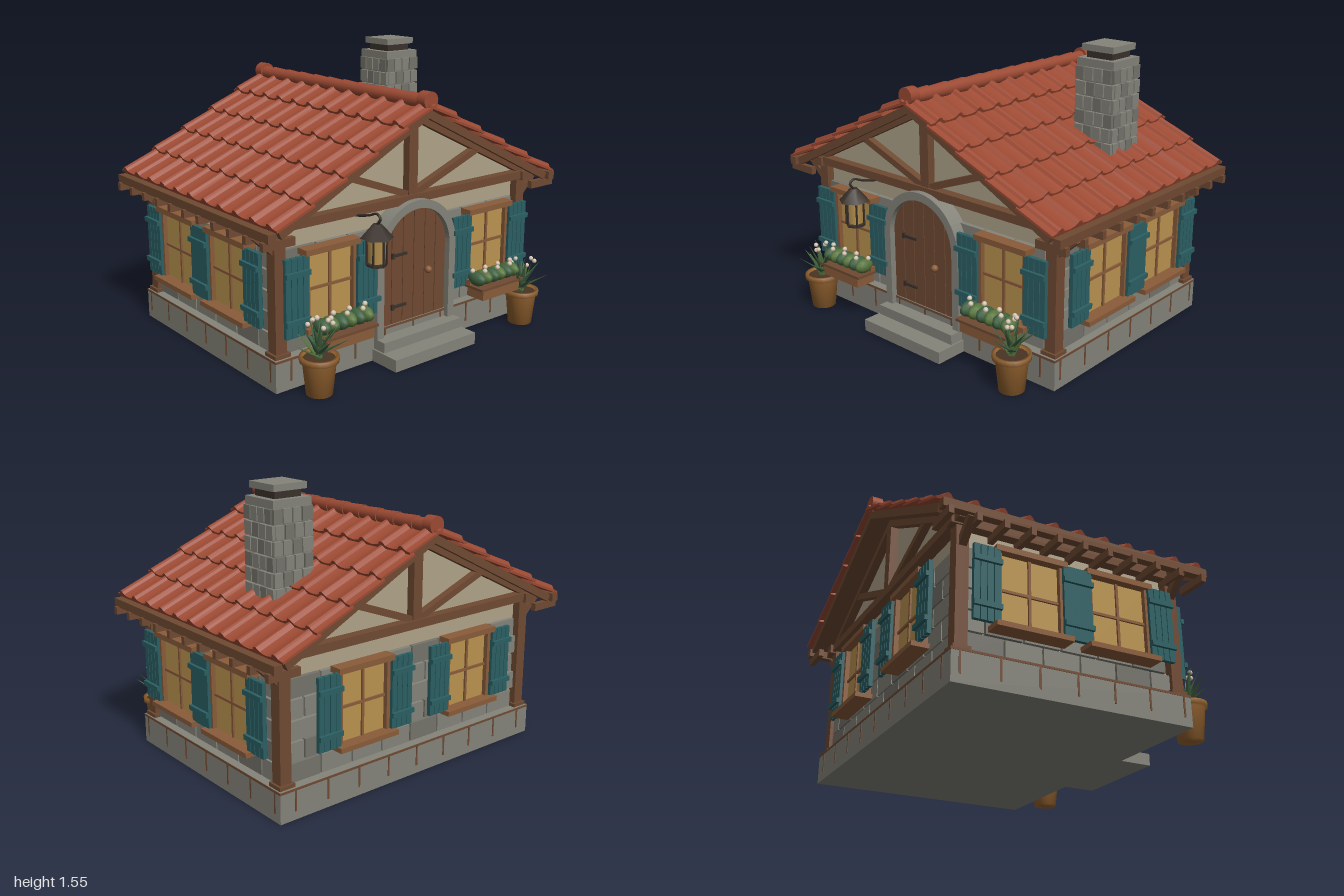
import * as THREE from 'three';

const mat = (color, opt = {}) => new THREE.MeshStandardMaterial({ color, ...opt });
const M = {
  roof: mat(0x9c4a33), wood: mat(0x704a32), trim: mat(0x8a5c3a), plaster: mat(0xb0a48a), teal: mat(0x2b6064),
  tealDark: mat(0x1f474b), glass: mat(0xbb9450), stone: mat(0x85847a), stoneDark: mat(0x74736b), dark: mat(0x3a312b),
  pot: mat(0x93622f), leaf: mat(0x3f6141, { side: THREE.DoubleSide }), bush: mat(0x56743c), petal: mat(0xd8c8b4), soil: mat(0x4a3424),
};

function add(parent, name, geo, material, x = 0, y = 0, z = 0) {
  const m = new THREE.Mesh(geo, material);
  m.name = name;
  m.position.set(x, y, z);
  parent.add(m);
  return m;
}
const box = (p, name, material, w, h, d, x, y, z) => add(p, name, new THREE.BoxGeometry(w, h, d), material, x, y, z);
function group(parent, name, x = 0, y = 0, z = 0, ry = 0) {
  const g = new THREE.Group();
  g.name = name;
  g.position.set(x, y, z);
  g.rotation.y = ry;
  parent.add(g);
  return g;
}
// Timber between two points of an x-y plane
function beam(p, name, x0, y0, x1, y1, z, thick, depth, material = M.wood) {
  const b = box(p, name, material, Math.hypot(x1 - x0, y1 - y0), thick, depth, (x0 + x1) / 2, (y0 + y1) / 2, z);
  b.rotation.z = Math.atan2(y1 - y0, x1 - x0);
}
const extrude = (shape, depth, curveSegments = 16) => new THREE.ExtrudeGeometry(shape, { depth, bevelEnabled: false, curveSegments });

// Staggered courses of stone on one wall, facing +z
function stonework(p, width) {
  const rowH = 0.107, bw = 0.2;
  for (let r = 0; r < 5; r++) {
    for (let x = -width / 2 - (r % 2 ? bw / 2 : 0), k = 0; x < width / 2 - 0.01; x += bw, k++) {
      const a = Math.max(x, -width / 2), b = Math.min(x + bw, width / 2);
      if (b - a > 0.03) box(p, 'wallStone', (k * 3 + r) % 4 ? M.stone : M.stoneDark, b - a - 0.01, rowH - 0.01, 0.03, (a + b) / 2, 0.165 + rowH * (r + 0.5), -0.015);
    }
  }
}

// Boarded shutter centred on its own origin
function shutter(p, x, h, y) {
  const g = group(p, 'shutter', x, y, 0.055), w = 0.14;
  for (let i = 0; i < 4; i++) box(g, 'shutterBoard', M.teal, w / 4 - 0.004, h, 0.022, (i - 1.5) * w / 4, 0, 0);
  box(g, 'shutterBacking', M.tealDark, w - 0.01, h - 0.02, 0.012, 0, 0, -0.008);
  for (const s of [-1, 1]) box(g, 'shutterBatten', M.teal, w + 0.004, 0.026, 0.018, 0, s * h * 0.3, 0.018);
}

// Four-pane window with shutters, facing +z
function windowUnit(p, x, w, y0, y1, offset, shutterY0, shutterY1) {
  const g = group(p, 'window', x), h = y1 - y0, cy = (y0 + y1) / 2;
  box(g, 'windowPane', M.glass, w, h, 0.03, 0, cy, 0.01);
  for (const s of [-1, 1]) box(g, 'windowJamb', M.trim, 0.022, h, 0.05, s * (w / 2 + 0.005), cy, 0.025);
  box(g, 'windowHeader', M.trim, w + 0.06, 0.03, 0.07, 0, y1 + 0.015, 0.035);
  box(g, 'windowSill', M.trim, w + 0.08, 0.026, 0.095, 0, y0 - 0.01, 0.0475);
  box(g, 'windowMullion', M.trim, 0.014, h, 0.02, 0, cy, 0.025);
  box(g, 'windowTransom', M.trim, w, 0.014, 0.02, 0, cy, 0.025);
  for (const s of [-1, 1]) shutter(g, s * offset, shutterY1 - shutterY0, (shutterY0 + shutterY1) / 2);
}

// One roof slope; x runs down from the ridge
function roofSlope(p, ry) {
  const slope = group(p, 'roofSlope', 0, 1.335, 0, ry);
  const g = group(slope, 'tiledSlope');
  g.rotation.z = -Math.atan(0.5);
  const L = 1.068, rows = 5, step = L / rows, half = 0.76, pitch = 0.141;
  box(g, 'roofDeck', M.wood, L - 0.03, 0.022, 1.47, L / 2 - 0.015, -0.042, 0);
  for (const s of [-1, 1]) box(g, 'bargeBoard', M.wood, L - 0.02, 0.04, 0.03, L / 2 - 0.01, -0.053, s * 0.72);
  // Tile profile: sagging pans with narrow rounded covers
  const profile = new THREE.Shape();
  profile.moveTo(-half, 0);
  profile.lineTo(half, 0);
  const n = 11 * 14;
  for (let i = 0; i <= n; i++) {
    const z = half - (2 * half * i) / n, d = Math.abs(z - Math.round(z / pitch) * pitch);
    const y = d < 0.021 ? 0.018 + Math.sqrt(0.021 ** 2 - d * d) : 0.011 + 0.01 * (1 - (d - 0.021) / 0.05) ** 2;
    profile.lineTo(z, y);
  }
  const geo = extrude(profile, step + 0.02).rotateY(Math.PI / 2);
  for (let r = 0; r < rows; r++) {
    const t = add(g, 'tileCourse', geo, M.roof, r * step - (r ? 0.02 : 0.012), -0.033 + (r ? 0 : 0.004), 0);
    t.rotation.z = 0.085;
  }
}

// Timber truss on one gable end
function gableTruss(p, z) {
  const g = group(p, 'gableTruss');
  box(g, 'tieBeam', M.wood, 1.86, 0.045, 0.07, 0, 0.82, z);
  box(g, 'kingPost', M.wood, 0.06, 0.46, 0.05, 0, 1.055, z);
  for (const s of [-1, 1]) {
    beam(g, 'rafter', 0, 1.255, s * 0.86, 0.835, z, 0.04, 0.05);
    beam(g, 'strut', s * 0.03, 0.845, s * 0.48, 1.015, z, 0.036, 0.04);
  }
}

// Arched boarded door with stone surround and steps
function doorway(p) {
  const g = group(p, 'doorway'), spring = 0.545, base = 0.13;
  const ring = new THREE.Shape();
  ring.moveTo(0.275, 0.1);
  ring.lineTo(0.275, spring);
  ring.absarc(0, spring, 0.275, 0, Math.PI, false);
  ring.lineTo(-0.275, 0.1);
  ring.lineTo(-0.23, 0.1);
  ring.lineTo(-0.23, spring);
  ring.absarc(0, spring, 0.23, Math.PI, 0, true);
  ring.lineTo(0.23, 0.1);
  add(g, 'doorSurround', extrude(ring, 0.09), M.stone, 0, 0, 0.58);
  const arch = (a, b) => {
    const s = new THREE.Shape();
    s.moveTo(a, base);
    s.lineTo(b, base);
    for (let i = 0; i <= 8; i++) {
      const x = b + ((a - b) * i) / 8;
      s.lineTo(x, spring + Math.sqrt(Math.max(0, 0.23 ** 2 - x * x)));
    }
    return s;
  };
  for (let i = 0; i < 6; i++) {
    const a = -0.23 + (i * 0.46) / 6;
    add(g, 'doorBacking', extrude(arch(a, a + 0.46 / 6), 0.03), M.dark, 0, 0, 0.585);
    add(g, 'doorBoard', extrude(arch(a + 0.002, a + 0.0745), 0.02), M.wood, 0, 0, 0.618);
  }
  for (const y of [0.26, 0.54]) {
    box(g, 'doorHinge', M.dark, 0.1, 0.014, 0.012, -0.105, y, 0.643);
    box(g, 'hingePlate', M.dark, 0.016, 0.03, 0.014, -0.15, y, 0.643);
  }
  add(g, 'doorKnob', new THREE.SphereGeometry(0.02, 12, 8), M.trim, 0.092, 0.42, 0.655);
  box(g, 'lowerStep', M.stone, 0.57, 0.065, 0.23, 0, 0.0325, 0.712);
  box(g, 'upperStep', M.stone, 0.55, 0.055, 0.13, 0, 0.0925, 0.66);
}

// Window box filled with clipped greenery and blossoms
function flowerBox(p, x) {
  const g = group(p, 'flowerBox', x, 0, 0.72);
  box(g, 'planter', M.trim, 0.29, 0.06, 0.12, 0, 0.235, 0);
  box(g, 'planterRim', M.wood, 0.33, 0.014, 0.14, 0, 0.268, 0);
  for (let i = 0; i < 6; i++) add(g, 'bush', new THREE.SphereGeometry(0.04, 10, 8), i % 2 ? M.bush : M.leaf, (i - 2.5) * 0.054, 0.315, 0).scale.set(0.85, 1, 1.5);
  for (let i = 0; i < 7; i++) add(g, 'blossom', new THREE.SphereGeometry(0.014, 8, 6), M.petal, (i - 3) * 0.05, 0.358, i % 2 ? 0.025 : -0.02);
}

// Turned pot with a spiky plant
function pottedPlant(p, x) {
  const g = group(p, 'pottedPlant', x, 0, 0.762);
  const pts = [[0, 0], [0.066, 0], [0.084, 0.165], [0.098, 0.17], [0.098, 0.197], [0.083, 0.197], [0.08, 0.18], [0, 0.18]];
  add(g, 'pot', new THREE.LatheGeometry(pts.map(([r, y]) => new THREE.Vector2(r, y)), 20), M.pot);
  add(g, 'soil', new THREE.CylinderGeometry(0.08, 0.08, 0.01, 16), M.soil, 0, 0.18, 0);
  const leafGeo = new THREE.ConeGeometry(0.022, 0.17, 5).scale(1, 1, 0.35).translate(0, 0.085, 0);
  for (let i = 0; i < 18; i++) {
    const pivot = group(g, 'leafPivot', 0, 0.185 + 0.02 * (i % 3), 0, i * 2.4);
    add(pivot, 'leaf', leafGeo, i % 3 ? M.leaf : M.bush).rotation.x = 0.15 + 0.95 * (i / 17);
    if (i % 4 === 0) add(pivot, 'blossom', new THREE.SphereGeometry(0.013, 8, 6), M.petal, 0, 0.16, 0.035 + i * 0.002);
  }
}

// Six-sided hanging lantern on a wall hook
function lantern(p) {
  const g = group(p, 'lantern', -0.38, 0, 0.782);
  const cyl = (name, m, r0, r1, h, y) => add(g, name, new THREE.CylinderGeometry(r0, r1, h, 6).toNonIndexed(), m, 0, y, 0);
  cyl('lanternGlass', M.glass, 0.048, 0.042, 0.12, 0.655);
  cyl('lanternBase', M.dark, 0.05, 0.05, 0.012, 0.583);
  cyl('lanternCollar', M.dark, 0.055, 0.055, 0.012, 0.718);
  cyl('lanternRoof', M.dark, 0.022, 0.085, 0.07, 0.755);
  for (let i = 0; i < 6; i++) {
    const a = (i * Math.PI) / 3;
    box(g, 'lanternBar', M.dark, 0.008, 0.135, 0.008, Math.sin(a) * 0.05, 0.65, Math.cos(a) * 0.05);
  }
  const path = [[0.785, 0], [0.82, 0.025], [0.84, 0], [0.82, -0.06], [0.79, -0.19]].map(([y, z]) => new THREE.Vector3(0, y, z));
  add(g, 'lanternHook', new THREE.TubeGeometry(new THREE.CatmullRomCurve3(path), 20, 0.007, 6), M.dark);
}

// Brick stack with collar and cap
function chimney(p) {
  const g = group(p, 'chimney', 0.55, 0, -0.198);
  box(g, 'chimneyCore', M.stoneDark, 0.21, 0.5, 0.21, 0, 1.19, 0);
  for (let side = 0; side < 4; side++) {
    const face = group(g, 'chimneyFace', 0, 0, 0, (side * Math.PI) / 2);
    for (let r = 0; r < 6; r++) for (let c = 0; c < 4; c++)
      box(face, 'chimneyBrick', (r + c * 2) % 3 ? M.stone : M.stoneDark, 0.05, 0.069, 0.025, (c - 1.5) * 0.058 + (r % 2 ? 0.006 : -0.006), 1.4 - r * 0.078, 0.112);
  }
  box(g, 'chimneyCollar', M.stone, 0.232, 0.042, 0.232, 0, 1.457, 0);
  box(g, 'chimneyNeck', M.dark, 0.16, 0.04, 0.16, 0, 1.495, 0);
  box(g, 'chimneyCap', M.stone, 0.2, 0.034, 0.2, 0, 1.533, 0);
}

export function createModel() {
  const root = new THREE.Group();
  root.name = 'cottage';
  const house = group(root, 'house', 0, 0, -0.057);

  // Foundation, walls and gable infill
  box(house, 'foundation', M.stone, 1.78, 0.165, 1.286, 0, 0.0825, 0);
  box(house, 'foundationTrim', M.wood, 1.784, 0.012, 1.29, 0, 0.158, 0);
  for (let i = -4; i <= 4; i++) for (const s of [-1, 1]) {
    box(house, 'foundationJoint', M.wood, 0.01, 0.11, 0.006, i * 0.2, 0.1, s * 0.643);
    if (Math.abs(i) < 4) box(house, 'foundationJoint', M.wood, 0.006, 0.11, 0.01, s * 0.89, 0.1, i * 0.2);
  }
  box(house, 'walls', M.plaster, 1.65, 0.68, 1.15, 0, 0.5, 0);
  const gable = new THREE.Shape([[-0.86, 0.82], [0.86, 0.82], [0, 1.265]].map(([x, y]) => new THREE.Vector2(x, y)));
  add(house, 'gableInfill', extrude(gable, 1.16), M.plaster, 0, 0, -0.58);

  // Wall faces: front, back, left, right
  const front = group(house, 'frontWall', 0, 0, 0.6);
  const back = group(house, 'backWall', 0, 0, -0.6, Math.PI);
  stonework(front, 1.62);
  stonework(back, 1.62);
  for (const s of [-1, 1]) {
    windowUnit(front, s * 0.5525, 0.28, 0.3, 0.665, 0.22, 0.27, 0.67);
    windowUnit(back, s * 0.37, 0.3, 0.31, 0.68, 0.235, 0.31, 0.69);
    const side = group(house, 'sideWall', s * 0.85, 0, 0, (s * Math.PI) / 2);
    stonework(side, 1.12);
    for (const t of [-1, 1]) windowUnit(side, t * 0.245, 0.32, 0.31, 0.68, 0.236, 0.31, 0.69);

    // Eaves timber and rafter tails
    box(house, 'eaveBeam', M.wood, 0.045, 0.045, 1.48, s * 0.962, 0.817, 0);
    box(house, 'wallPlate', M.wood, 0.06, 0.05, 1.3, s * 0.85, 0.815, 0);
    for (let i = -5; i <= 5; i++) box(house, 'rafterTail', M.wood, 0.18, 0.042, 0.028, s * 0.91, 0.777, i * 0.141);

    // Corner posts and braces
    for (const t of [-1, 1]) {
      box(house, 'cornerPost', M.wood, 0.065, 0.7, 0.065, s * 0.838, 0.46, t * 0.587);
      box(house, 'postFoot', M.wood, 0.09, 0.03, 0.09, s * 0.838, 0.17, t * 0.587);
      beam(house, 'eaveBrace', s * 0.85, 0.69, s * 0.965, 0.795, t * 0.587, 0.035, 0.04);
    }
    flowerBox(house, s * 0.535);
    pottedPlant(house, s * 0.72);
    gableTruss(house, s * 0.6);
  }

  // Roof and ridge
  roofSlope(house, 0);
  roofSlope(house, Math.PI);
  for (let i = 0; i < 11; i++) add(house, 'ridgeTile', new THREE.CylinderGeometry(0.034, 0.041, 0.15, 16).rotateX(Math.PI / 2), M.roof, 0, 1.334, (i - 5) * 0.132);
  for (const s of [-1, 1]) add(house, 'ridgeEnd', new THREE.CylinderGeometry(0.047, 0.047, 0.06, 18).rotateX(Math.PI / 2), M.roof, 0, 1.343, s * 0.715);

  doorway(house);
  lantern(house);
  chimney(house);
  return root;
}
